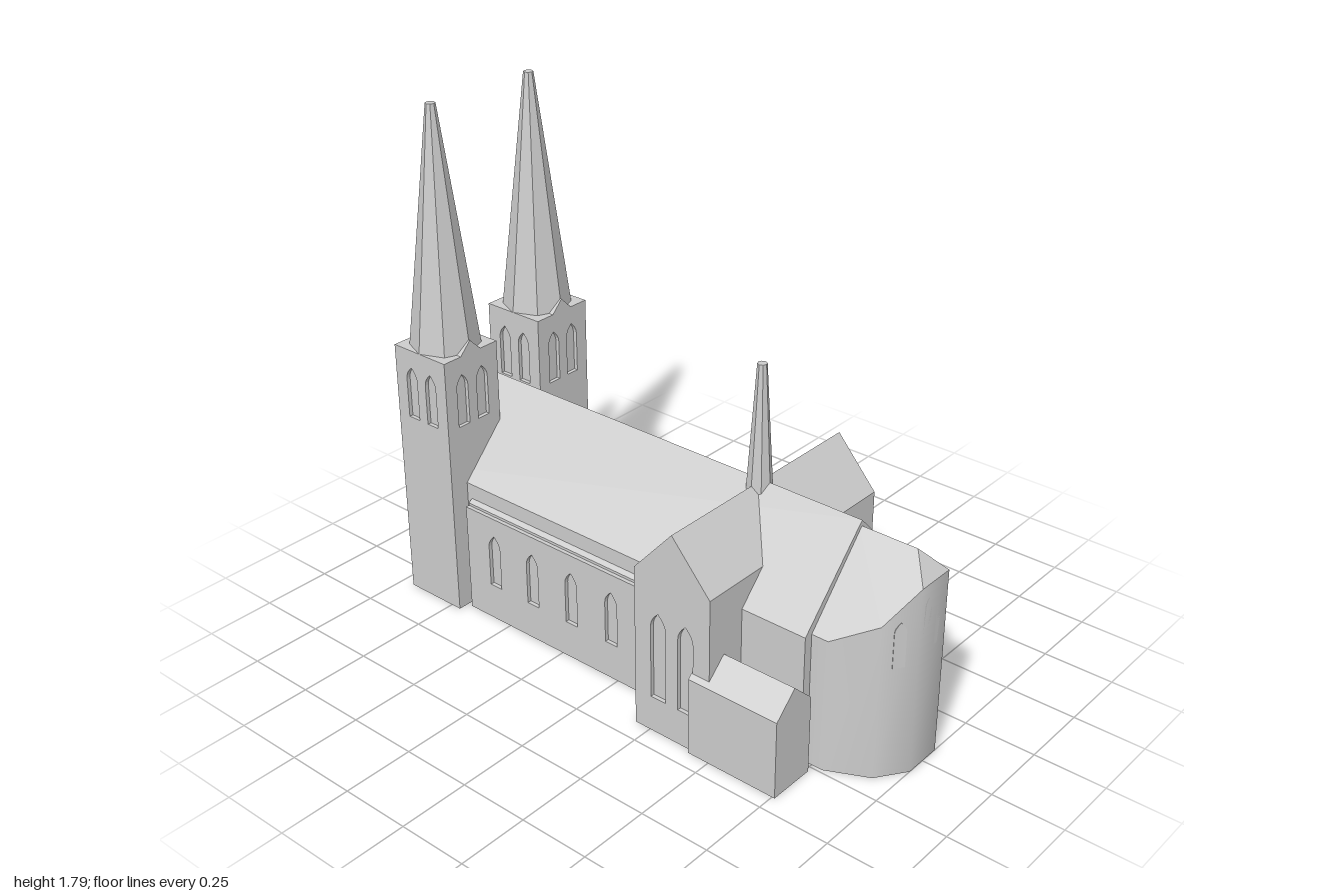
import * as THREE from 'three';

const D = 0.014; // depth of window recesses
const stone = new THREE.MeshStandardMaterial({ color: 0xcccccc });
stone.name = 'pale stone';

// pointed-arch outline, centred on u, from y0 to y1
function arch(path, u, y0, y1, w) {
  const h = w / 2, spring = y1 - w * 0.9;
  path.moveTo(u - h, y0);
  path.lineTo(u + h, y0);
  path.lineTo(u + h, spring);
  path.quadraticCurveTo(u + h, spring + w * 0.45, u, y1);
  path.quadraticCurveTo(u - h, spring + w * 0.45, u - h, spring);
  path.closePath();
  return path;
}

// pentagonal house outline
const gable = (half, eave, ridge, u = 0) =>
  [[u - half, 0], [u + half, 0], [u + half, eave], [u, ridge], [u - half, eave]];
const rect = (u0, u1, y0, y1) => [[u0, y0], [u1, y0], [u1, y1], [u0, y1]];

export function createModel() {
  const model = new THREE.Group();

  function add(name, geometry, parent = model) {
    const mesh = new THREE.Mesh(geometry, stone);
    mesh.name = name;
    parent.add(mesh);
    return mesh;
  }

  // outline extruded from distance a to b along the direction given by angle
  // (0 = +z, PI/2 = +x), with arched openings [u, y0, y1, width]
  function slab(name, pts, a, b, angle, openings = [], parent = model) {
    const shape = new THREE.Shape(pts.map(p => new THREE.Vector2(...p)));
    for (const o of openings) shape.holes.push(arch(new THREE.Path(), ...o));
    const geo = new THREE.ExtrudeGeometry(shape, { depth: b - a, bevelEnabled: false, curveSegments: 4 });
    geo.translate(0, 0, a);
    geo.rotateY(angle);
    return add(name, geo, parent);
  }
  const WEST = -Math.PI / 2;

  // nave with west gable wall and its window
  const naveOutline = gable(0.27, 0.48, 0.765);
  slab('nave', naveOutline, -0.73, 0.935 - D, WEST);
  slab('westWall', naveOutline, 0.935 - D, 0.935, WEST, [[0, 0.38, 0.58, 0.12]]);

  // west porch with doorway
  const porchOutline = gable(0.115, 0.195, 0.32);
  slab('porch', porchOutline, 0.9, 1 - D, WEST);
  slab('porchDoorway', porchOutline, 1 - D, 1, WEST, [[0, 0.02, 0.21, 0.12]]);

  // aisles, the rear one slightly deeper
  for (const [s, outer, top] of [[1, 0.30, 0.425], [-1, 0.34, 0.45]]) {
    const inner = outer - D;
    const yIn = 0.405 + (top - 0.405) * D / (outer - 0.27);
    const pts = [[0.2, 0], [inner, 0], [inner, yIn], [0.27, top], [0.2, top]].map(([z, y]) => [z * s, y]);
    slab('aisle', pts, -0.19, 0.69, WEST);
    const windows = [0, 1, 2, 3, 4].map(i => [s * (-0.56 + i * 0.178), 0.135, 0.335, 0.052]);
    const span = s > 0 ? [-0.69, 0.19] : [-0.19, 0.69];
    slab('aisleWall', rect(...span, 0, 0.405), inner, outer, s > 0 ? 0 : Math.PI, windows);
  }

  // transept with windowed gable ends
  const transept = new THREE.Group();
  transept.name = 'transept';
  transept.position.x = 0.34;
  model.add(transept);
  const crossOutline = gable(0.15, 0.585, 0.755);
  slab('transeptBody', crossOutline, -0.425 + D, 0.425 - D, 0, [], transept);
  for (const angle of [0, Math.PI]) {
    slab('transeptGable', crossOutline, 0.425 - D, 0.425, angle,
      [-0.055, 0.055].map(u => [u, 0.13, 0.45, 0.06]), transept);
  }

  // side chapels
  for (const s of [1, -1]) slab('sideChapel', gable(0.085, 0.28, 0.36, s * 0.355), -0.76, -0.42, WEST);

  // twin towers
  for (const s of [1, -1]) {
    const tower = new THREE.Group();
    tower.name = 'tower';
    tower.position.set(-0.83, 0, s * 0.22);
    model.add(tower);
    const core = 0.12 - D;
    slab('towerCore', rect(-core, core, 0, 0.955), -core, core, 0, [], tower);
    for (let i = 0; i < 4; i++) {
      slab('towerWall', rect(-0.12, 0.12, 0, 0.955), core, 0.12, i * Math.PI / 2,
        [-0.045, 0.045].map(u => [u, 0.7, 0.89, 0.05]), tower);
    }
    slab('towerGablet', [[-0.05, 0.95], [0.05, 0.95], [0, 1.0]], -0.12, 0.12, WEST, [], tower);
    spire('spire', 0.955, 1.79, 0.12, 0.017, tower);
  }

  // eight-sided tapering spire with flat facets
  function spire(name, y0, y1, r0, r1, parent) {
    const geo = new THREE.CylinderGeometry(r1, r0, y1 - y0, 8).toNonIndexed();
    geo.computeVertexNormals();
    add(name, geo, parent).position.y = (y0 + y1) / 2;
  }
  spire('crossingSpire', 0.7, 1.165, 0.045, 0.016, transept);

  // apse: smooth polygonal wall cut by a gabled roof with a small hip
  const half = [[0.72, 0.238], [0.79, 0.238], [0.93, 0.17], [1, 0.07]];
  const ring = [...half, ...half.slice().reverse().map(([x, z]) => [x, -z])];
  const roofY = z => 0.745 - 1.125 * Math.abs(z);
  const wallPos = [], wallIdx = [];
  ring.forEach(([x, z], i) => {
    wallPos.push(x, 0, z, x, roofY(z), z);
    const b = i * 2;
    if (i < ring.length - 1) wallIdx.push(b, b + 2, b + 3, b, b + 3, b + 1);
  });
  const wall = new THREE.BufferGeometry();
  wall.setAttribute('position', new THREE.Float32BufferAttribute(wallPos, 3));
  wall.setIndex(wallIdx);
  wall.computeVertexNormals();
  add('apseWall', wall);

  const top = ring.map(([x, z]) => [x, roofY(z), z]);
  const hip = [0.93, 0.745, 0], start = [0.72, 0.745, 0];
  const loop = [...top.slice(0, 4), hip, ...top.slice(4)];
  const tris = [...hip, ...top[3], ...top[4]];
  for (let i = 0; i < loop.length - 1; i++) tris.push(...start, ...loop[i], ...loop[i + 1]);
  for (let i = 0; i < ring.length - 1; i++) {
    const [a, b] = [ring[i], ring[i + 1]];
    tris.push(0.72, 0, 0, b[0], 0, b[1], a[0], 0, a[1]);
  }
  const roof = new THREE.BufferGeometry();
  roof.setAttribute('position', new THREE.Float32BufferAttribute(tris, 3));
  roof.computeVertexNormals();
  add('apseRoofAndBase', roof);

  // slim lancets high on the apse end
  function lancet(x, z, angle, y0, y1) {
    const geo = new THREE.ExtrudeGeometry(arch(new THREE.Shape(), 0, y0, y1, 0.04),
      { depth: 0.004, bevelEnabled: false, curveSegments: 4 });
    geo.translate(0, 0, -0.002);
    geo.rotateY(angle);
    geo.translate(x, 0, z);
    add('apseLancet', geo);
  }
  for (const s of [1, -1]) {
    lancet(0.998, s * 0.033, Math.PI / 2, 0.43, 0.62);
    lancet(0.965, s * 0.12, Math.PI / 2 - s * Math.atan2(0.07, 0.1), 0.4, 0.56);
  }

  return model;
}
